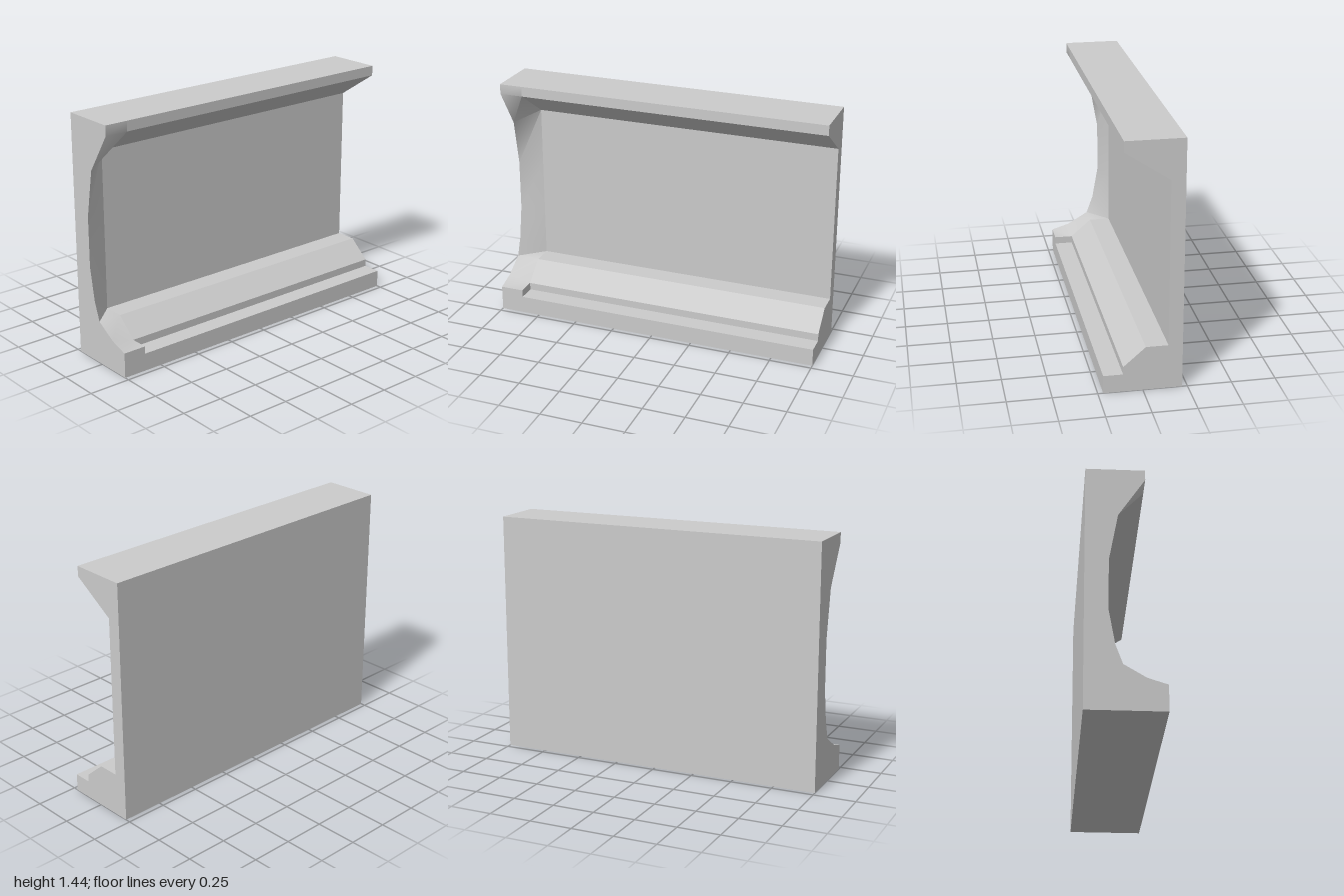
import * as THREE from 'three';
import { toCreasedNormals } from 'three/addons/utils/BufferGeometryUtils.js';

const END = -1, JOIN = -0.86;

// Profiles are [z, y] points, starting at the bottom back corner.
const wallProfile = [
  [-0.22, 0], [0.22, 0], [0.22, 0.105], [0.11, 0.105], [0.11, 0.15], [-0.015, 0.26],
  [-0.14, 0.26], [-0.14, 1.215], [0.11, 1.38], [0.11, 1.44], [-0.22, 1.44],
];
// Curved outer end of the side cove, and the matching points where it meets the wall.
const coveOuter = [
  [-0.22, 0], [0.22, 0], [0.22, 0.15], [0.11, 0.185], [-0.015, 0.26], [-0.055, 0.37],
  [-0.09, 0.57], [-0.09, 0.87], [-0.04, 1.15], [0.11, 1.38], [0.11, 1.44], [-0.22, 1.44],
];
const coveInner = [
  [-0.22, 0], [0.22, 0], [0.22, 0.15], [0.11, 0.15], [-0.015, 0.26], [-0.14, 0.26],
  [-0.14, 0.57], [-0.14, 0.87], [-0.14, 1.215], [0.11, 1.38], [0.11, 1.44], [-0.22, 1.44],
];

// Straight run of one profile along x.
function extrudeAlongX(profile, x0, x1) {
  const shape = new THREE.Shape(profile.map(([z, y]) => new THREE.Vector2(-z, y)));
  const geo = new THREE.ExtrudeGeometry(shape, { depth: x1 - x0, bevelEnabled: false });
  return geo.rotateY(Math.PI / 2).translate(x0, 0, 0);
}

// Capped solid between two profiles with the same number of points.
function loftAlongX(a, b, x0, x1) {
  const n = a.length, pos = [], index = [];
  a.forEach(([z, y]) => pos.push(x0, y, z));
  b.forEach(([z, y]) => pos.push(x1, y, z));
  for (let i = 0; i < n; i++) {
    const j = (i + 1) % n;
    index.push(i, n + i, n + j, i, n + j, j);
  }
  const cap = (p) => THREE.ShapeUtils.triangulateShape(p.map(([z, y]) => new THREE.Vector2(z, y)), []);
  cap(a).forEach(([p, q, r]) => index.push(p, q, r));
  cap(b).forEach(([p, q, r]) => index.push(n + p, n + r, n + q));
  const geo = new THREE.BufferGeometry();
  geo.setAttribute('position', new THREE.Float32BufferAttribute(pos, 3));
  geo.setIndex(index);
  return toCreasedNormals(geo, 0.8);
}

export function createModel() {
  const group = new THREE.Group();
  group.name = 'wallSection';
  const material = new THREE.MeshStandardMaterial({ color: 0xcccccc });
  const add = (name, geometry) => {
    const mesh = new THREE.Mesh(geometry, material);
    mesh.name = name;
    group.add(mesh);
  };

  // Panel with stepped base and overhanging top
  add('wallPanel', extrudeAlongX(wallProfile, JOIN, 1));
  // Smooth curved end that sweeps forward from the panel
  add('sideCove', loftAlongX(coveOuter, coveInner, END, JOIN));
  return group;
}
